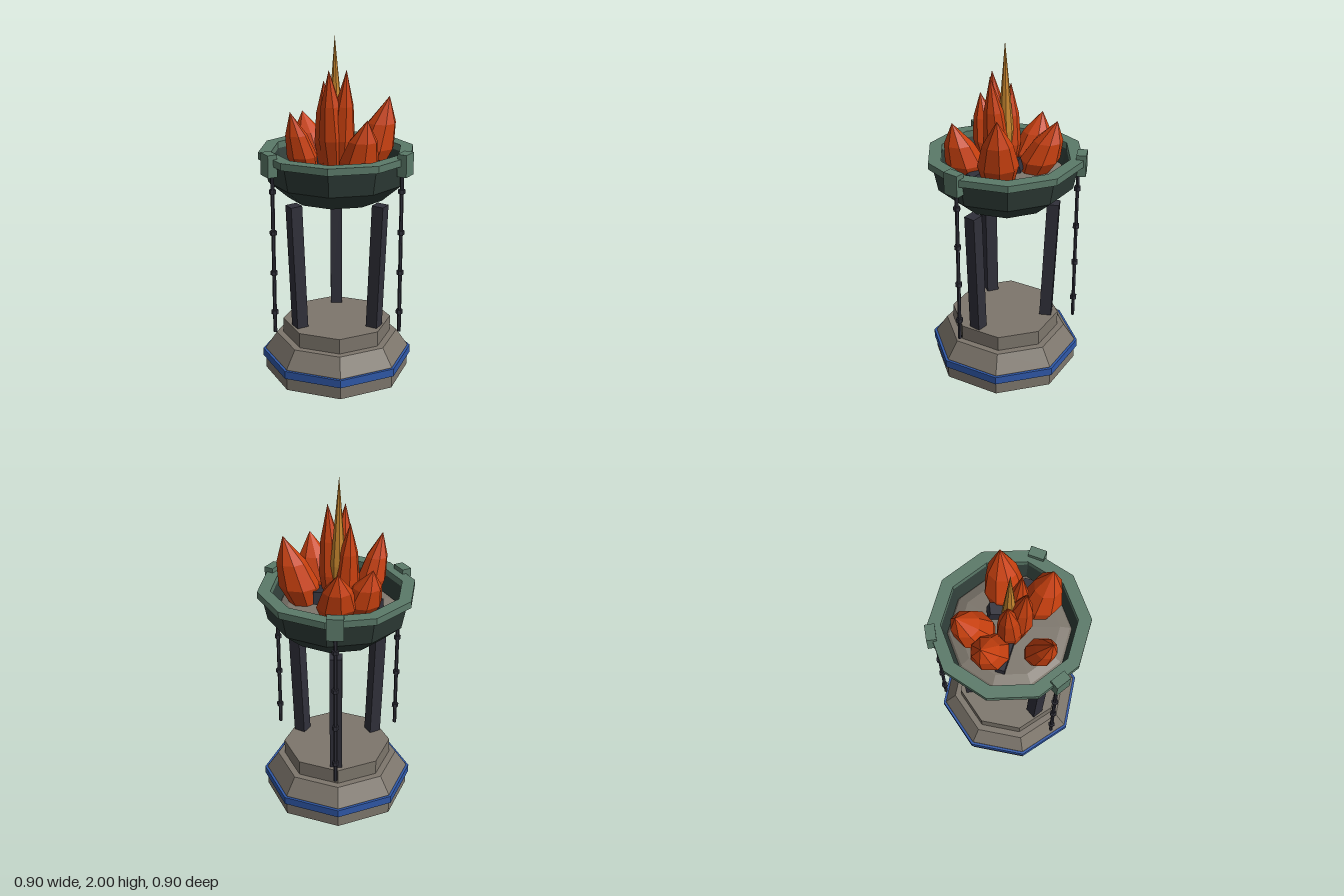
import * as THREE from 'three';

const paint = (name, color, extra = {}) => {
  const m = new THREE.MeshStandardMaterial({ color, flatShading: true, ...extra });
  m.name = name;
  return m;
};

export function createModel() {
  const stone = paint('stone', 0x7d766c);
  const blue = paint('blueBand', 0x2f58a8);
  const rimGreen = paint('patinaGreen', 0x5b7a69);
  const bowlGreen = paint('darkGreen', 0x2f3d38);
  const iron = paint('darkIron', 0x30303a);
  const orange = paint('flameOrange', 0xc8400f);
  const gold = paint('flameGold', 0xc8862e);

  const model = new THREE.Group();
  model.name = 'brazier';
  const body = new THREE.Group();
  body.name = 'stand';
  body.position.z = -0.01;
  model.add(body);

  const add = (parent, name, geometry, material, x = 0, y = 0, z = 0) => {
    const mesh = new THREE.Mesh(geometry, material);
    mesh.name = name;
    mesh.position.set(x, y, z);
    parent.add(mesh);
    return mesh;
  };
  const lathe = (points, sides, start = 0) =>
    new THREE.LatheGeometry(points.map(([r, y]) => new THREE.Vector2(r, y)), sides, start);

  // Octagonal stepped base with a blue band
  add(body, 'base', lathe([
    [0, 0], [0.428, 0], [0.428, 0.13], [0.36, 0.23], [0.32, 0.23], [0.32, 0.32], [0, 0.32],
  ], 8), stone);
  add(body, 'baseBand', lathe([
    [0.42, 0.078], [0.444, 0.078], [0.444, 0.125], [0.42, 0.125],
  ], 8), blue);

  // Ten-sided bowl, rim and ash bed
  const quarter = Math.PI / 2;
  add(body, 'bowl', lathe([
    [0, 1.04], [0.11, 1.04], [0.28, 1.085], [0.395, 1.185], [0.424, 1.325],
    [0.376, 1.325], [0.345, 1.22], [0.24, 1.15], [0, 1.13],
  ], 10, quarter), bowlGreen);
  add(body, 'rim', lathe([
    [0.375, 1.32], [0.449, 1.32], [0.449, 1.36], [0.375, 1.36], [0.375, 1.32],
  ], 10, quarter), rimGreen);
  add(body, 'ashBed', lathe([
    [0.35, 1.22], [0.335, 1.24], [0.28, 1.265], [0, 1.28],
  ], 10, quarter), stone);

  // Three sets of leg, rim clip and hanging chain
  for (let i = 0; i < 3; i++) {
    const arm = new THREE.Group();
    arm.name = 'support' + (i + 1);
    arm.rotation.y = -THREE.MathUtils.degToRad(77.2 + i * 120);
    body.add(arm);

    const leg = add(arm, 'leg', new THREE.BoxGeometry(0.07, 0.76, 0.07), iron, 0.265, 0.685, 0);
    leg.rotation.z = -0.042;
    add(arm, 'rimClip', new THREE.BoxGeometry(0.056, 0.127, 0.093), rimGreen, 0.432, 1.323, 0);
    add(arm, 'chain', new THREE.CylinderGeometry(0.011, 0.011, 0.98, 6), iron, 0.413, 0.81, 0);
    for (let k = 0; k < 4; k++) {
      add(arm, 'chainLink', new THREE.CylinderGeometry(0.02, 0.02, 0.024, 6), iron,
        0.413, 0.445 + k * 0.24, 0);
    }
  }

  // Charred logs lying in the ash
  const log = (a, b, size) => {
    const from = new THREE.Vector3(...a), to = new THREE.Vector3(...b);
    const mesh = add(model, 'log', new THREE.BoxGeometry(size, size, from.distanceTo(to)), iron);
    mesh.position.copy(from).lerp(to, 0.5);
    mesh.lookAt(to);
  };
  log([-0.1, 1.29, -0.255], [0.06, 1.29, 0.28], 0.055);
  log([0.14, 1.33, -0.01], [-0.09, 1.25, 0.18], 0.07);

  // Faceted flames: a bellied spindle sheared from its base toward its tip
  const flame = (name, material, [bx, bz], [tx, ty, tz], radius, profile) => {
    const bottom = 1.22;
    const g = lathe(profile.map(([r, t]) => [r * radius, t]), 8, 0.2);
    const p = g.attributes.position;
    for (let i = 0; i < p.count; i++) {
      const t = p.getY(i);
      p.setXYZ(i, p.getX(i) + bx + (tx - bx) * t, bottom + (ty - bottom) * t,
        p.getZ(i) + bz + (tz - bz) * t);
    }
    add(model, name, g, material);
  };
  const leaf = [[0, 0], [0.75, 0.08], [1, 0.34], [0.72, 0.66], [0, 1]];
  const flames = [
    [[0, -0.16], [0, 1.54, -0.28], 0.112],
    [[0.11, -0.11], [0.205, 1.56, -0.215], 0.115],
    [[-0.19, -0.055], [-0.312, 1.61, -0.07], 0.085],
    [[-0.06, 0.18], [-0.085, 1.58, 0.29], 0.112],
    [[0.11, 0.12], [0.205, 1.66, 0.205], 0.115],
    [[-0.03, 0], [-0.09, 1.82, 0.012], 0.08],
    [[-0.01, 0.02], [-0.018, 1.82, 0.08], 0.075],
    [[-0.03, -0.04], [-0.035, 1.745, -0.078], 0.075],
  ];
  for (const [base, tip, r] of flames) flame('flame', orange, base, tip, r, leaf);

  // Tall golden spike in the middle
  flame('centreFlame', gold, [0.002, -0.016], [-0.01, 2, -0.016], 0.044,
    [[0, 0], [0.7, 0.06], [1, 0.35], [0.6, 0.62], [0, 1]]);

  return model;
}
